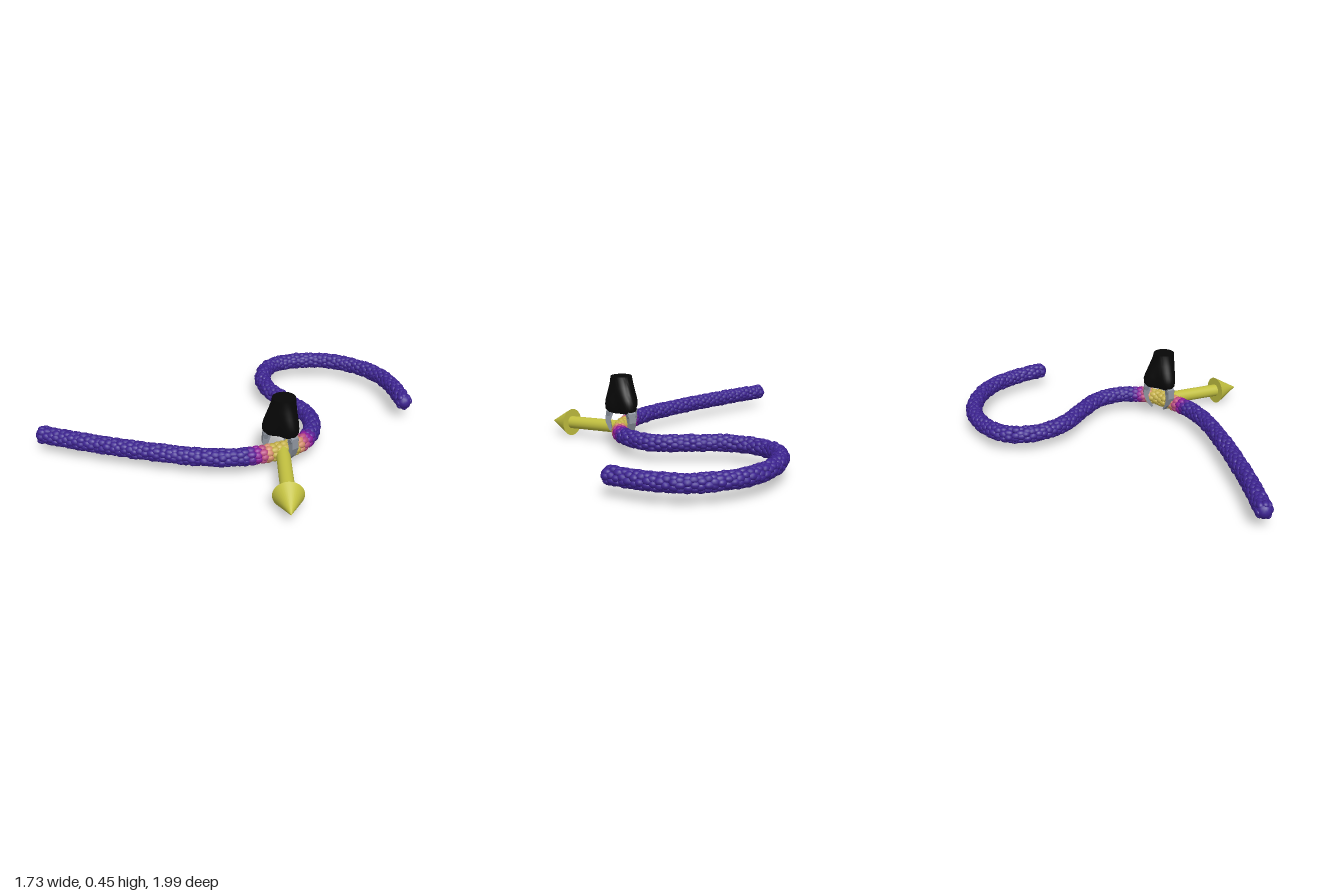
import * as THREE from 'three';
import { mergeGeometries, toCreasedNormals } from 'three/addons/utils/BufferGeometryUtils.js';

const GRIP = new THREE.Vector3(0.455, 0, 0.293);
const LOBE = THREE.MathUtils.degToRad(20); // heading of the first lobe, from +x towards +z

function mesh(name, geometry, color) {
  const m = new THREE.Mesh(geometry, new THREE.MeshStandardMaterial({ color }));
  m.name = name;
  return m;
}

function seeded(seed) {
  return () => {
    seed = (seed * 16807) % 2147483647;
    return seed / 2147483647;
  };
}

// Rope: centre line laid flat, wrapped in staggered rings of soft pebbles
function makeRope() {
  const rope = new THREE.Group();
  rope.name = 'rope';
  const rand = seeded(77);
  const path = [
    [0.815, -0.63], [0.68, -0.78], [0.51, -0.9], [0.3, -0.945], [0.085, -0.91], [-0.1, -0.78],
    [-0.185, -0.62], [-0.145, -0.45], [-0.01, -0.305], [0.22, -0.21], [0.39, -0.13], [0.49, 0],
    [0.52, 0.13], [0.5, 0.24], [0.42, 0.385], [0.295, 0.52], [0.14, 0.62], [-0.18, 0.75],
    [-0.55, 0.87], [-0.82, 0.94],
  ];
  const curve = new THREE.CatmullRomCurve3(
    path.map(([x, z], i) => new THREE.Vector3(x, 0.124 - 0.008 * i / path.length, z)));

  // Colour bands by distance from the grip
  const bands = [
    { name: 'ropeGripped', reach: 0.085, color: 0xc4b048 },
    { name: 'ropeSalmon', reach: 0.115, color: 0xd08a68 },
    { name: 'ropePink', reach: 0.14, color: 0xb84a80 },
    { name: 'ropeMagenta', reach: 0.185, color: 0x8a1a98 },
    { name: 'ropeViolet', reach: 0.215, color: 0x5a1e96 },
    { name: 'ropeIndigo', reach: Infinity, color: 0x3c2290 },
  ].map((b) => ({ ...b, parts: [] }));

  const up = new THREE.Vector3(0, 1, 0);
  const rings = 120, around = 8;
  const pebble = new THREE.IcosahedronGeometry(1, 1);
  const basis = new THREE.Matrix4();
  for (let i = 0; i <= rings; i++) {
    const u = i / rings;
    const centre = curve.getPointAt(u);
    const along = curve.getTangentAt(u);
    const side = new THREE.Vector3().crossVectors(up, along).normalize();
    const d = Math.hypot(centre.x - GRIP.x, centre.z - GRIP.z);
    const band = bands.find((b) => d < b.reach);
    for (let k = 0; k < around; k++) {
      const a = ((k + (i % 2) / 2 + (rand() - 0.5) * 0.35) / around) * Math.PI * 2;
      const out = side.clone().multiplyScalar(Math.cos(a)).addScaledVector(up, Math.sin(a));
      const tangent = new THREE.Vector3().crossVectors(along, out);
      const p = centre.clone().addScaledVector(out, 0.035 + rand() * 0.004)
        .addScaledVector(along, (rand() - 0.5) * 0.012);
      basis.makeBasis(along, out, tangent)
        .scale(new THREE.Vector3(0.026 + rand() * 0.005, 0.017 + rand() * 0.003, 0.022))
        .setPosition(p);
      band.parts.push(pebble.clone().applyMatrix4(basis));
    }
  }
  for (const b of bands) rope.add(mesh(b.name, mergeGeometries(b.parts), b.color));

  // Core and rounded ends close the gaps between pebbles
  rope.add(mesh('ropeCore', new THREE.TubeGeometry(curve, 160, 0.033, 10), 0x3c2290));
  for (const u of [0, 1]) {
    const end = mesh('ropeEnd', new THREE.IcosahedronGeometry(0.048, 2), 0x3c2290);
    end.position.copy(curve.getPointAt(u));
    rope.add(end);
  }
  return rope;
}

// Gripper body: a lathe swelling into three lobes towards its base
function makeGripperBody() {
  // radius, height, lobe depth
  const rows = [
    [0, 0.222, 0], [0.06, 0.22, 0.012], [0.082, 0.229, 0.02], [0.095, 0.25, 0.023],
    [0.099, 0.28, 0.021], [0.096, 0.315, 0.016], [0.089, 0.35, 0.01], [0.08, 0.39, 0.005],
    [0.071, 0.43, 0.001], [0.068, 0.458, 0], [0, 0.458, 0],
  ];
  const segments = 48;
  const geo = new THREE.LatheGeometry(rows.map(([r, y]) => new THREE.Vector2(r, y)), segments);
  const pos = geo.attributes.position;
  for (let i = 0; i < pos.count; i++) {
    const [r, y, lobe] = rows[i % rows.length];
    const x = pos.getX(i), z = pos.getZ(i);
    const k = r > 0 ? 1 + (lobe / r) * Math.cos(3 * (Math.atan2(z, x) - LOBE)) : 1;
    // the neck leans slightly forward and to the left
    const lean = Math.max(0, y - 0.28) * 0.06;
    pos.setX(i, x * k + lean);
    pos.setZ(i, z * k + lean);
  }
  return mesh('gripperBody', toCreasedNormals(geo, 0.8), 0x070707);
}

// Finger: curved plate drawn in the radial plane, with a knuckle at the top
function makeFinger() {
  const finger = new THREE.Group();
  finger.name = 'finger';
  const outline = new THREE.Shape([
    [0.07, 0.245], [0.075, 0.2], [0.088, 0.165], [0.08, 0.12], [0.055, 0.08], [0.062, 0.072],
    [0.099, 0.115], [0.12, 0.17], [0.114, 0.23], [0.1, 0.245],
  ].map(([r, y]) => new THREE.Vector2(r, y)));
  const width = 0.046;
  const plate = new THREE.ExtrudeGeometry(outline, { depth: width, bevelEnabled: false });
  plate.translate(0, 0, -width / 2);
  finger.add(mesh('fingerPlate', plate, 0x8c929c));
  const knuckle = mesh('knuckle', new THREE.CylinderGeometry(0.014, 0.014, 0.058, 16), 0x777d87);
  knuckle.rotation.x = Math.PI / 2;
  knuckle.position.set(0.1, 0.215, 0);
  finger.add(knuckle);
  return finger;
}

function makeGripper() {
  const gripper = new THREE.Group();
  gripper.name = 'gripper';
  gripper.position.copy(GRIP);
  gripper.add(makeGripperBody());
  for (let i = 0; i < 3; i++) {
    const finger = makeFinger();
    finger.rotation.y = -(LOBE + (i * Math.PI * 2) / 3);
    gripper.add(finger);
  }
  return gripper;
}

// Arrow: shaft and cone head pointing away from the grip
function makeArrow() {
  const arrow = new THREE.Group();
  arrow.name = 'arrow';
  const start = new THREE.Vector3(0.458, 0.12, 0.295);
  const tip = new THREE.Vector3(0.81, 0.082, 0.795);
  const length = start.distanceTo(tip), head = 0.17;
  const shaft = mesh('arrowShaft', new THREE.CylinderGeometry(0.041, 0.041, length - head, 32), 0xc2c040);
  shaft.position.y = (length - head) / 2;
  const cone = mesh('arrowHead', new THREE.ConeGeometry(0.089, head, 32), 0xc2c040);
  cone.position.y = length - head / 2;
  arrow.add(shaft, cone);
  arrow.position.copy(start);
  arrow.quaternion.setFromUnitVectors(new THREE.Vector3(0, 1, 0), tip.sub(start).normalize());
  return arrow;
}

export function createModel() {
  const model = new THREE.Group();
  model.name = 'ropeGraspScene';
  model.add(makeRope(), makeGripper(), makeArrow());
  return model;
}
